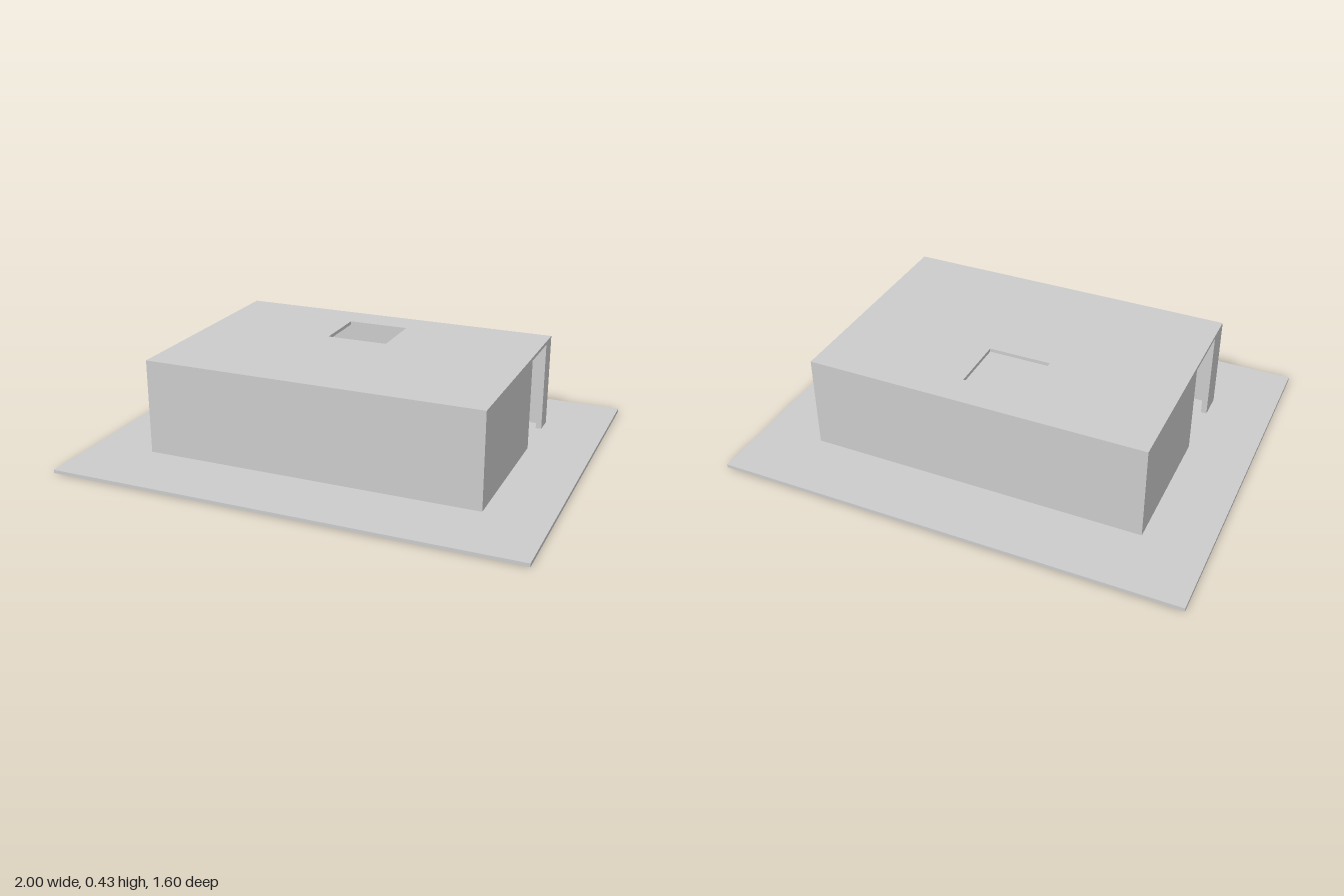
import * as THREE from 'three';

const material = new THREE.MeshStandardMaterial({ color: 0xcccccc, flatShading: true });

// Outer faces of the building, wall thickness and levels
const L = -0.73, R = 0.73, F = 0.483, B = -0.5, T = 0.025;
const FLOOR = 0.015, CEILING = 0.41, TOP = 0.425;

// Extrudes a plan outline of [x, z] points between two heights
function slab(name, outline, bottom, top, hole) {
  const toPoints = (pts) => pts.map(([x, z]) => new THREE.Vector2(x, z));
  const shape = new THREE.Shape(toPoints(outline));
  if (hole) shape.holes.push(new THREE.Path(toPoints(hole)));
  const geometry = new THREE.ExtrudeGeometry(shape, { depth: top - bottom, bevelEnabled: false });
  geometry.rotateX(Math.PI / 2);
  geometry.translate(0, top, 0);
  const mesh = new THREE.Mesh(geometry, material);
  mesh.name = name;
  return mesh;
}

const rect = (x0, x1, z0, z1) => [[x0, z0], [x1, z0], [x1, z1], [x0, z1]];

// U-shaped wall: one long wall with a return at each end
const uWall = (zOuter, zInner, zLeft, zRight) => [
  [L, zOuter], [R, zOuter], [R, zRight], [R - T, zRight],
  [R - T, zInner], [L + T, zInner], [L + T, zLeft], [L, zLeft],
];

export function createModel() {
  const model = new THREE.Group();
  model.name = 'building';

  model.add(slab('groundPlate', rect(-1, 1, -0.8, 0.8), 0, FLOOR));

  // The gaps between the two wall pieces are the full-height doorways
  model.add(slab('frontWalls', uWall(F, F - T, 0.37, -0.18), FLOOR, CEILING));
  model.add(slab('backWalls', uWall(B, B + T, 0.11, -0.415), FLOOR, CEILING));

  // Interior partition standing out from the back wall
  model.add(slab('partition', rect(0.3, 0.3 + T, B + T, 0.04), FLOOR, CEILING));

  // Flat roof with a square opening
  model.add(slab('roof', rect(L, R, B, F), CEILING, TOP, rect(-0.17, 0.1, -0.36, -0.11)));

  return model;
}
